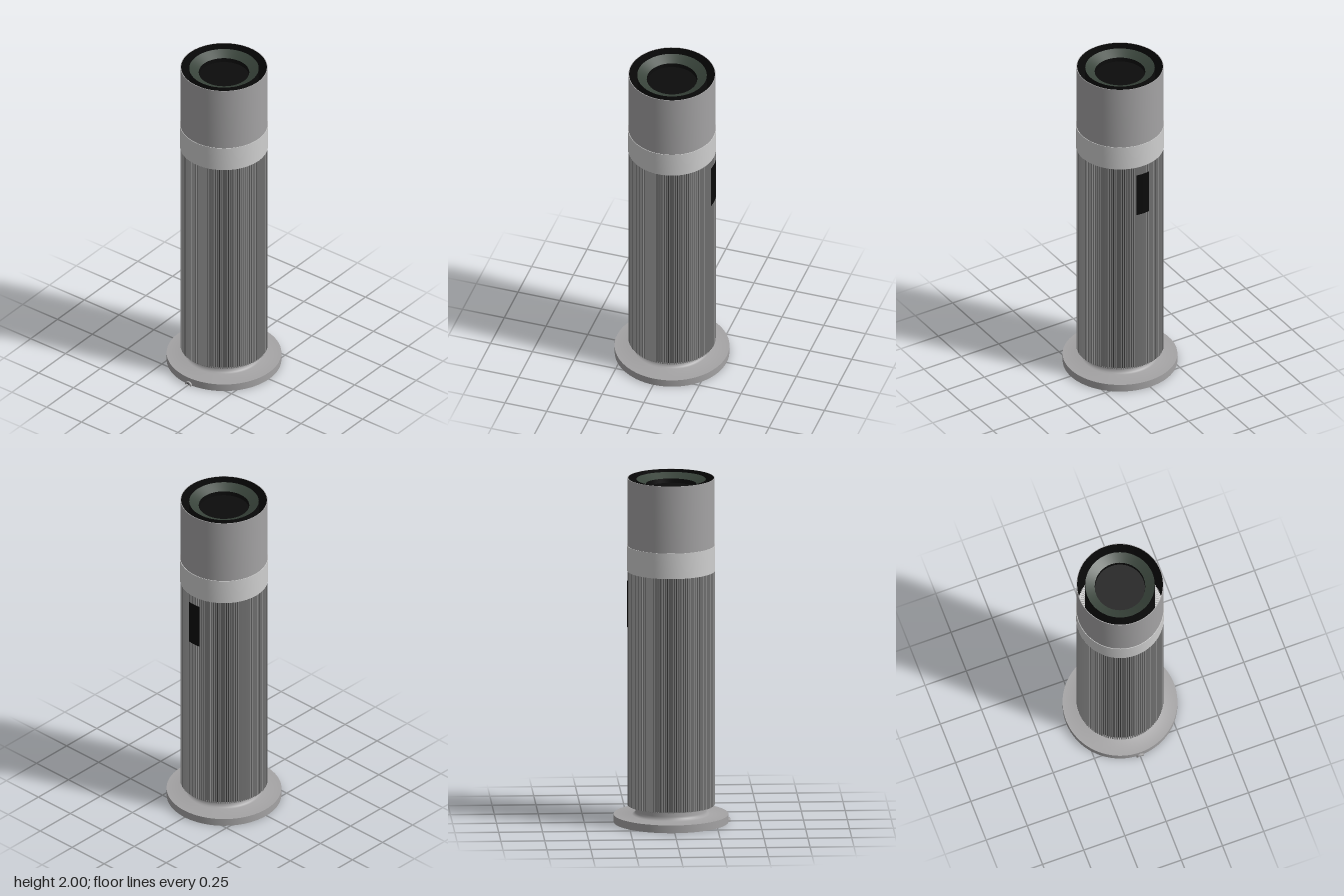
import * as THREE from 'three';
import { mergeGeometries, toCreasedNormals } from 'three/addons/utils/BufferGeometryUtils.js';

const FIN_COUNT = 120;

function material(name, color) {
  const m = new THREE.MeshStandardMaterial({ color });
  m.name = name;
  return m;
}

// Surface of revolution with crisp profile corners
function lathe(points, segments = 72) {
  const profile = points.map(([r, y]) => new THREE.Vector2(r, y));
  return toCreasedNormals(new THREE.LatheGeometry(profile, segments), 0.6);
}

// Ring of upright wedges; a0 and a1 are the solid share of the pitch at r0 and r1
function finRing(r0, r1, a0, a1, y0, y1) {
  const pitch = (Math.PI * 2) / FIN_COUNT;
  const w0 = r0 * pitch * a0 / 2, w1 = r1 * pitch * a1 / 2;
  const shape = new THREE.Shape([
    new THREE.Vector2(r0, -w0), new THREE.Vector2(r1, -w1),
    new THREE.Vector2(r1, w1), new THREE.Vector2(r0, w0),
  ]);
  const fin = new THREE.ExtrudeGeometry(shape, { depth: y1 - y0, bevelEnabled: false });
  fin.rotateX(-Math.PI / 2).translate(0, y0, 0);
  const fins = [];
  for (let i = 0; i < FIN_COUNT; i++) fins.push(fin.clone().rotateY(i * pitch));
  return mergeGeometries(fins);
}

export function createModel() {
  const silver = material('silver grey', 0xa4a3a4);
  const light = material('light grey', 0xcfcfcf);
  const finGrey = material('fin grey', 0x868686);
  const dark = material('dark grey', 0x3c3c3c);
  const green = material('dark green', 0x38433a);
  const black = material('black', 0x0b0b0b);

  const model = new THREE.Group();
  model.name = 'towerPurifier';
  const add = (name, geometry, mat) => {
    const mesh = new THREE.Mesh(geometry, mat);
    mesh.name = name;
    mesh.position.z = -0.005;
    model.add(mesh);
    return mesh;
  };

  // Flanged foot with a filleted neck, hollow underneath
  add('base', lathe([
    [0, 0.09], [0.193, 0.09], [0.193, 0.06], [0.196, 0.03], [0.203, 0.012], [0.212, 0],
    [0.327, 0], [0.327, 0.045], [0.222, 0.045], [0.211, 0.049], [0.204, 0.057],
    [0.201, 0.068], [0.2, 0.105],
  ]), silver);

  // Cable inlet: a half-round sleeve on the front of the foot
  const arch = new THREE.Shape();
  arch.absarc(0, 0, 0.022, 0, Math.PI);
  arch.lineTo(-0.012, 0);
  arch.absarc(0, 0, 0.012, Math.PI, 0, true);
  const sleeve = new THREE.ExtrudeGeometry(arch, { depth: 0.02, bevelEnabled: false, curveSegments: 10 });
  add('cableInlet', sleeve.translate(0, 0, 0.317), silver);
  const hole = new THREE.CircleGeometry(0.012, 12, 0, Math.PI);
  add('cableHole', hole.translate(0, 0, 0.329), black);

  // Finned body around a dark core
  add('bodyCore', lathe([[0, 0.102], [0.238, 0.102], [0.238, 1.48]]), dark);
  add('bodyFins', finRing(0.225, 0.249, 0.56, 0.56, 0.1, 1.465), finGrey);

  // Display plate on the back
  const plate = new THREE.CylinderGeometry(0.252, 0.252, 0.27, 8, 1, true, Math.PI - 0.165, 0.33);
  plate.translate(0, 1.275, 0);
  add('backPanel', plate, black);

  // Light collar
  add('collar', lathe([[0.236, 1.462], [0.251, 1.462], [0.251, 1.61], [0.243, 1.61]]), light);

  // Upper casing, with a dark liner inside
  add('upperCasing', lathe([[0.248, 1.61], [0.248, 2], [0.244, 2]]), silver);
  add('casingLiner', lathe([[0.244, 2], [0.244, 1.5], [0.19, 1.5]]), black);

  // Light louvre blades deep in the outlet slot
  add('outletLouvre', finRing(0.197, 0.2435, 0.5, 0.92, 1.52, 1.6), light);

  // Inner drum with a shallow funnel and a dark well
  add('innerDrum', lathe([[0.198, 1.5], [0.198, 1.992]]), black);
  add('funnelRing', lathe([[0.198, 1.992], [0.144, 1.965]]), green);
  add('centreWell', lathe([[0.144, 1.965], [0.142, 1.94], [0, 1.94]]), black);

  return model;
}
